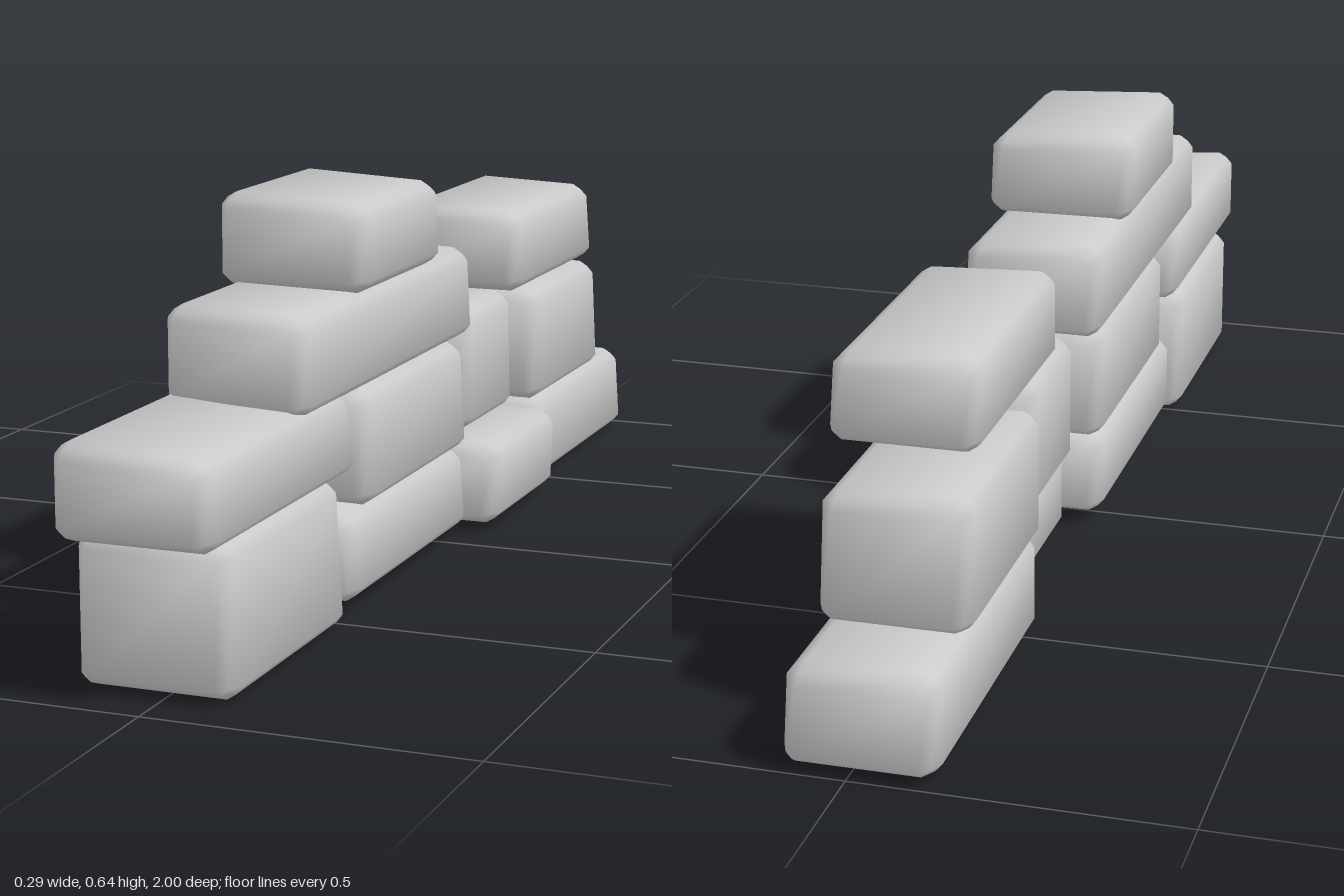
import * as THREE from 'three';

// Each stone: x, y and z ranges, slope of the top across x, outward lean of the +x face at its foot
const stones = [
  // ground course, front to back
  ['baseStoneFront', -0.142, 0.108, 0.002, 0.232, 0.48, 0.93, -0.01, 0.012],
  ['baseStoneMiddle', -0.13, 0.105, 0.02, 0.165, -0.075, 0.48, -0.03, 0.01],
  ['baseStoneShort', -0.075, 0.143, 0.013, 0.16, -0.43, -0.07, -0.03, -0.005],
  ['baseStoneBack', -0.13, 0.105, 0.005, 0.165, -1.0, -0.44, -0.03, 0.01],
  // second course
  ['secondStoneFront', -0.14, 0.11, 0.23, 0.375, 0.44, 1.0, -0.07, 0.014],
  ['secondStoneMiddle', -0.13, 0.105, 0.157, 0.35, -0.075, 0.41, -0.04, 0.01],
  ['secondStoneShort', -0.105, 0.075, 0.16, 0.375, -0.4, -0.13, -0.01, 0.005],
  ['secondStoneBack', -0.135, 0.1, 0.155, 0.367, -0.85, -0.435, -0.04, 0.01],
  // third course
  ['thirdStoneLong', -0.134, 0.102, 0.345, 0.505, -0.11, 0.65, -0.04, 0.008],
  ['thirdStoneBack', -0.115, 0.12, 0.385, 0.533, -0.735, -0.265, -0.04, 0.01],
  // capstone
  ['capStone', -0.145, 0.106, 0.495, 0.643, 0.06, 0.43, -0.05, 0.006],
];

// Box whose edges and corners are pulled in to worn bevels, with normals blended over them
function stoneGeometry(x0, x1, y0, y1, z0, z1, slope, lean) {
  const geometry = new THREE.BoxGeometry(1, 1, 1, 3, 3, 3);
  const position = geometry.attributes.position;
  const half = [(x1 - x0) / 2, (y1 - y0) / 2, (z1 - z0) / 2];
  const mid = [(x0 + x1) / 2, (y0 + y1) / 2, (z0 + z1) / 2];
  const bevel = [0.025, 0.022, 0.04];
  for (let i = 0; i < position.count; i++) {
    const unit = [position.getX(i), position.getY(i), position.getZ(i)];
    const outer = unit.map((u) => Math.abs(u) > 0.4);
    const pull = [0, 0, 0.42, 0.6][outer.filter(Boolean).length];
    const p = unit.map((u, k) => Math.sign(u) * (half[k] - bevel[k] * (outer[k] ? pull : 1)));
    const n = new THREE.Vector3(...unit.map((u, k) => Math.sign(u) * (outer[k] ? 1 : 0.42))).normalize();
    // uneven shape: sloping top and a foot that leans out
    const high = p[1] / half[1] / 2 + 0.5;
    const y = mid[1] + p[1] + slope * (p[0] + half[0]) * high;
    const x = mid[0] + p[0] - (p[0] > 0 ? lean * high : 0);
    position.setXYZ(i, x, y, mid[2] + p[2]);
    geometry.attributes.normal.setXYZ(i, n.x, n.y, n.z);
  }
  return geometry;
}

export function createModel() {
  const wall = new THREE.Group();
  wall.name = 'stoneWall';
  const material = new THREE.MeshStandardMaterial({ color: 0xcccccc });
  for (const [name, ...shape] of stones) {
    const stone = new THREE.Mesh(stoneGeometry(...shape), material);
    stone.name = name;
    wall.add(stone);
  }
  return wall;
}
